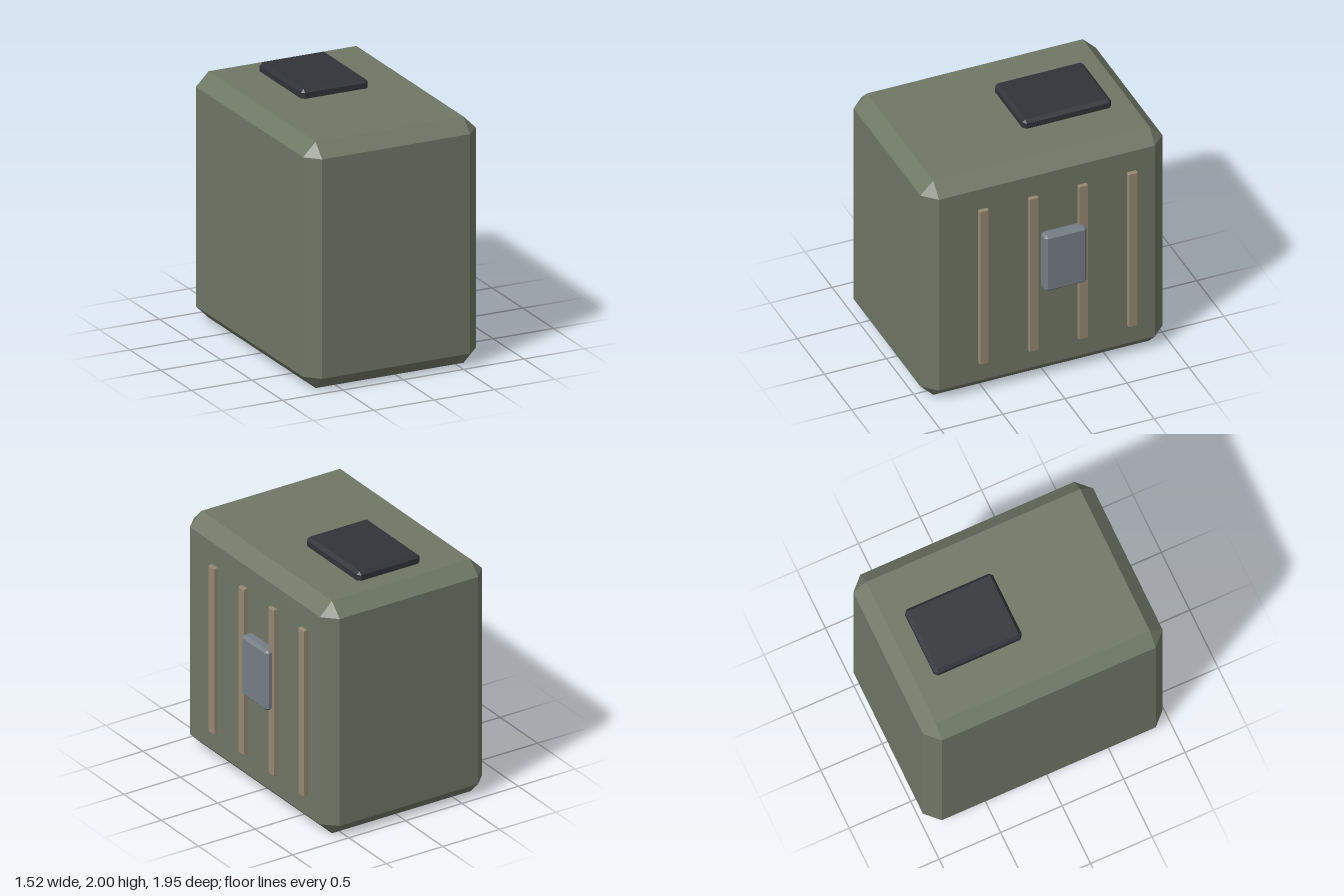
import * as THREE from 'three';
import { ConvexGeometry } from 'three/addons/geometries/ConvexGeometry.js';

// Box between two corners with every edge cut at 45 degrees
function chamferBox(name, color, [x0, y0, z0], [x1, y1, z1], cut) {
  const half = [(x1 - x0) / 2, (y1 - y0) / 2, (z1 - z0) / 2];
  const points = [];
  for (const sx of [-1, 1]) for (const sy of [-1, 1]) for (const sz of [-1, 1]) {
    // each corner becomes three points, one on each adjoining face
    for (let face = 0; face < 3; face++) {
      const [x, y, z] = half.map((h, axis) => (axis === face ? h : h - cut));
      points.push(new THREE.Vector3(sx * x, sy * y, sz * z));
    }
  }
  const material = new THREE.MeshStandardMaterial({ color, flatShading: true });
  const mesh = new THREE.Mesh(new ConvexGeometry(points), material);
  mesh.position.set((x0 + x1) / 2, (y0 + y1) / 2, (z0 + z1) / 2);
  mesh.name = name;
  return mesh;
}

export function createModel() {
  const model = new THREE.Group();
  model.name = 'cabinet';

  // Main housing
  model.add(chamferBox('body', 0x6f7765, [-0.765, 0, -0.975], [0.67, 1.93, 0.975], 0.105));

  // Dark hatch on the roof
  model.add(chamferBox('topHatch', 0x303338, [-0.325, 1.89, -0.72], [0.23, 2, -0.005], 0.025));

  // Upright slats along the left side
  for (let i = 0; i < 4; i++) {
    const z = 0.522 - i * 0.4;
    model.add(chamferBox('sideSlat' + (i + 1), 0x968872,
      [0.677, 0.275, z - 0.037], [0.713, 1.655, z + 0.037], 0.004));
  }

  // Control box over the slats
  model.add(chamferBox('controlBox', 0x757d85, [0.66, 0.81, -0.29], [0.76, 1.312, 0.052], 0.022));

  return model;
}
